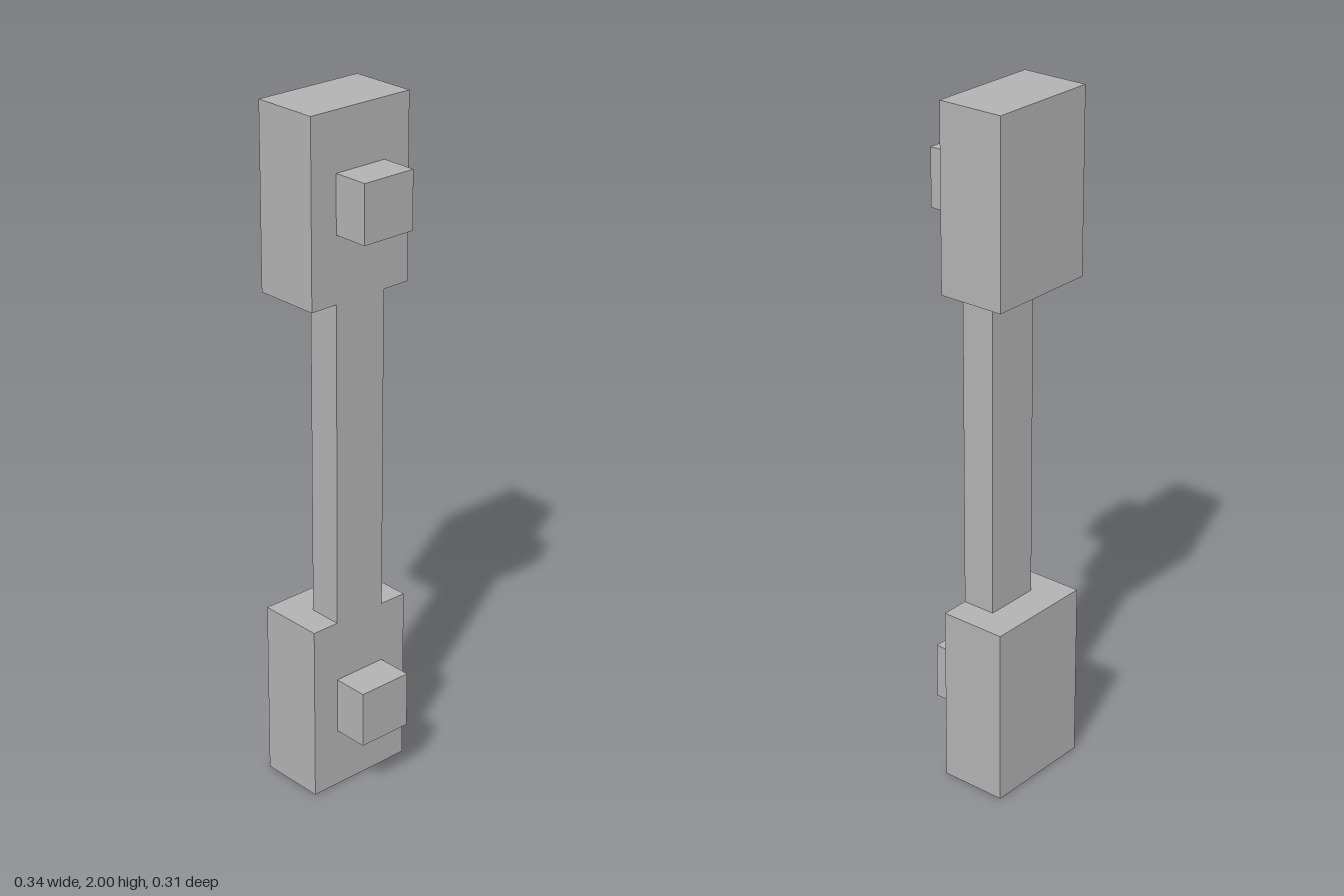
import * as THREE from 'three';

export function createModel() {
  const group = new THREE.Group();
  const grey = new THREE.MeshStandardMaterial({ color: 0xb2b2b2 });
  grey.name = 'grey';

  // Box given by its half width and its y and z ranges
  const box = (name, halfWidth, y0, y1, z0, z1) => {
    const mesh = new THREE.Mesh(new THREE.BoxGeometry(halfWidth * 2, y1 - y0, z1 - z0), grey);
    mesh.position.set(0, (y0 + y1) / 2, (z0 + z1) / 2);
    mesh.name = name;
    group.add(mesh);
  };

  const front = 0.046; // shared front plane of the blocks and the bar

  // End blocks
  box('lowerBlock', 0.169, 0, 0.527, -0.153, front);
  box('upperBlock', 0.169, 1.475, 2, -0.153, front);

  // Connecting bar, flush with the front of the blocks
  box('bar', 0.084, 0.527, 1.475, -0.055, front);

  // Square pegs on the front of each block
  box('lowerPeg', 0.084, 0.178, 0.345, front, 0.153);
  box('upperPeg', 0.084, 1.667, 1.833, front, 0.153);

  return group;
}
